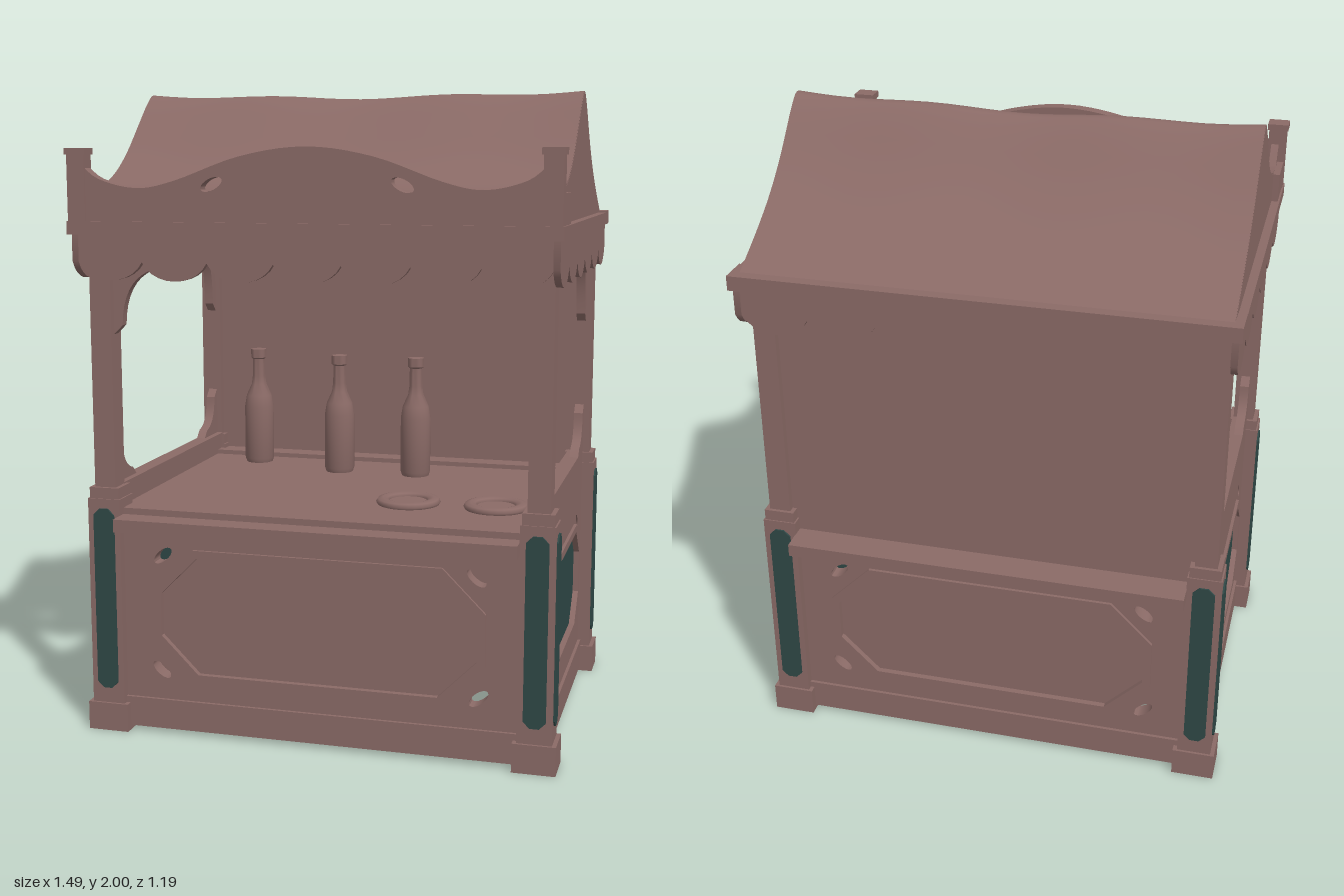
import * as THREE from 'three';
import { toCreasedNormals } from 'three/addons/utils/BufferGeometryUtils.js';

const wood = new THREE.MeshStandardMaterial({ color: 0x8a6a66 });
wood.name = 'dusty brown';
const green = new THREE.MeshStandardMaterial({ color: 0x2f4846 });
green.name = 'dark green';

const V = (x, y) => new THREE.Vector2(x, y);

function add(parent, name, geo, mat = wood, x = 0, y = 0, z = 0) {
  const m = new THREE.Mesh(geo, mat);
  m.name = name;
  m.position.set(x, y, z);
  parent.add(m);
  return m;
}

// box from min and max corners
function box(parent, name, x0, x1, y0, y1, z0, z1, mat = wood) {
  return add(parent, name, new THREE.BoxGeometry(x1 - x0, y1 - y0, z1 - z0), mat,
    (x0 + x1) / 2, (y0 + y1) / 2, (z0 + z1) / 2);
}

// extrusion centred on z = 0, smooth along curves
function slab(shape, depth, steps = 1) {
  const g = new THREE.ExtrudeGeometry(shape, { depth, steps, bevelEnabled: false, curveSegments: 10 });
  g.translate(0, 0, -depth / 2);
  return toCreasedNormals(g, 0.6);
}

// rectangle with cut corners
function octagon(hw, y0, y1, c) {
  return [V(-hw + c, y0), V(hw - c, y0), V(hw, y0 + c), V(hw, y1 - c),
    V(hw - c, y1), V(-hw + c, y1), V(-hw, y1 - c), V(-hw, y0 + c)];
}

function ellipseHole(x, y, a, b, rot) {
  const p = new THREE.Path();
  p.absellipse(x, y, a, b, 0, Math.PI * 2, false, rot);
  return p;
}

// counter wall facing +z: pierced board, moulding, sunken field and skirting
function wall(name, hw, top, [ow, o0, o1, cut], slits, fieldMat) {
  const g = new THREE.Group();
  g.name = name;
  const board = new THREE.Shape([V(-hw, 0.03), V(hw, 0.03), V(hw, top), V(-hw, top)]);
  board.holes.push(new THREE.Path(octagon(ow, o0, o1, cut)));
  for (const [x, y, r] of slits)
    for (const s of [-1, 1]) board.holes.push(ellipseHole(s * x, y, 0.036, 0.017, s * r));
  add(g, 'wallBoard', slab(board, 0.05));
  const rim = new THREE.Shape(octagon(ow + 0.025, o0 - 0.025, o1 + 0.025, cut + 0.012));
  rim.holes.push(new THREE.Path(octagon(ow, o0, o1, cut)));
  add(g, 'panelMoulding', slab(rim, 0.07));
  add(g, 'panelField', slab(new THREE.Shape(octagon(ow, o0, o1, cut)), 0.009), fieldMat, 0, 0, 0.012);
  box(g, 'skirting', -hw, hw, 0.015, 0.11, -0.02, 0.035);
  return g;
}

// hanging cloth edge with round lobes
function valance(hw, lobes) {
  const s = new THREE.Shape();
  const w = 2 * hw / lobes;
  s.moveTo(-hw, 1.585);
  s.lineTo(-hw, 1.49);
  for (let i = 0; i < lobes; i++) {
    const x = -hw + i * w;
    s.bezierCurveTo(x + w * 0.18, 1.416, x + w * 0.82, 1.416, x + w, 1.49);
  }
  s.lineTo(hw, 1.585);
  return slab(s, 0.02);
}

// corner brace with a concave edge; corner at the origin, arms +x and -y
function brace(w, h) {
  const s = new THREE.Shape();
  s.moveTo(0, 0);
  s.lineTo(0, -h);
  s.lineTo(0.03, -h + 0.03);
  s.quadraticCurveTo(0.035, -0.045, w - 0.03, -0.03);
  s.lineTo(w, 0);
  return slab(s, 0.03);
}

function createModel() {
  const root = new THREE.Group();
  root.name = 'marketStall';

  // lower walls
  const longField = [0.5, 0.2, 0.575, 0.12];
  const longSlits = [[0.495, 0.575, -0.7], [0.505, 0.205, 0.7]];
  const sideField = [0.315, 0.23, 0.55, 0.09];
  for (const s of [1, -1]) {
    const w = wall(s > 0 ? 'frontWall' : 'backWall', 0.64, 0.7, longField, longSlits, wood);
    w.position.z = s * 0.475;
    w.rotation.y = s > 0 ? 0 : Math.PI;
    const e = wall(s > 0 ? 'leftWall' : 'rightWall', 0.45, 0.79, sideField, [[0.315, 0.565, -0.8]], green);
    e.position.x = s * 0.665;
    e.rotation.y = s * Math.PI / 2;
    root.add(w, e);
  }

  // corner posts with green inlays
  const inlay = new THREE.Shape(octagon(0.034, 0.14, 0.72, 0.02));
  for (const sx of [-1, 1]) for (const sz of [-1, 1]) {
    const p = new THREE.Group();
    p.name = 'cornerPost';
    p.position.set(sx * 0.677, 0, sz * 0.477);
    box(p, 'postFoot', -0.066, 0.066, 0, 0.09, -0.058, 0.058);
    box(p, 'lowerPost', -0.053, 0.053, 0.08, 0.75, -0.05, 0.05);
    box(p, 'postCap', -0.048, 0.048, 0.74, 0.785, -0.046, 0.046);
    box(p, 'upperPost', -0.034, 0.034, 0.78, 1.6, -0.035, 0.035);
    add(p, 'postInlay', slab(inlay, 0.009), green, 0, 0, sz * 0.051);
    add(p, 'postInlay', slab(inlay, 0.009), green, sx * 0.054).rotation.y = Math.PI / 2;
    root.add(p);

    // braces of the side openings, above and below
    const up = add(root, 'upperBrace', brace(0.15, 0.26), wood, sx * 0.675, 1.5, sz * 0.445);
    up.rotation.y = sz * Math.PI / 2;
    const low = add(root, 'lowerBrace', brace(0.14, 0.17), wood, sx * 0.675, 0.785, sz * 0.445);
    low.rotation.set(Math.PI, -sz * Math.PI / 2, 0);
  }
  for (const s of [-1, 1]) {
    const b = add(root, 'frontBrace', brace(0.2, 0.24), wood, s * 0.645, 1.5, 0.475);
    b.rotation.y = s > 0 ? Math.PI : 0;
  }

  // counter, ledges and back wall
  box(root, 'counterTop', -0.655, 0.655, 0.695, 0.72, -0.48, 0.5);
  box(root, 'frontLedge', -0.625, 0.625, 0.66, 0.7, 0.48, 0.578);
  box(root, 'backLedge', -0.625, 0.625, 0.67, 0.71, -0.59, -0.48);
  box(root, 'backRail', -0.645, 0.645, 0.715, 0.735, -0.47, -0.39);
  box(root, 'backBoard', -0.65, 0.65, 0.7, 1.585, -0.49, -0.465);

  // bottles
  const bottle = [[0, 0], [0.046, 0], [0.051, 0.015], [0.051, 0.2], [0.044, 0.24], [0.026, 0.28],
    [0.022, 0.31], [0.021, 0.37], [0.027, 0.375], [0.027, 0.405], [0, 0.408]].map(([r, y]) => V(r, y));
  const bottleGeo = toCreasedNormals(new THREE.LatheGeometry(bottle, 20), 0.7);
  for (const [x, z] of [[-0.45, -0.31], [-0.125, -0.215], [0.145, -0.215]])
    add(root, 'bottle', bottleGeo, wood, x, 0.72, z);

  // plates
  for (const x of [0.22, 0.5]) {
    add(root, 'plateBase', new THREE.CylinderGeometry(0.085, 0.08, 0.01, 28), wood, x, 0.724, 0.21);
    const rim = add(root, 'plateRim', new THREE.TorusGeometry(0.08, 0.022, 8, 28), wood, x, 0.727, 0.21);
    rim.rotation.x = Math.PI / 2;
    rim.scale.z = 0.65;
  }

  // roof frame and valances
  box(root, 'frontBeam', -0.742, 0.742, 1.57, 1.61, 0.47, 0.593);
  box(root, 'backBeam', -0.742, 0.742, 1.57, 1.615, -0.595, -0.5);
  for (const s of [-1, 1]) {
    box(root, 'sideBeam', s * 0.7 - 0.042, s * 0.7 + 0.042, 1.57, 1.61, -0.52, 0.49);
    add(root, 'longValance', valance(0.715, 7), wood, 0, 0, s * 0.565);
    add(root, 'sideValance', valance(0.58, 6), wood, s * 0.722).rotation.y = Math.PI / 2;
  }

  // draped roof; shape x runs along -z
  const slope = new THREE.SplineCurve([[-0.49, 1.7], [-0.4, 1.71], [-0.3, 1.745], [-0.2, 1.81], [-0.1, 1.9],
    [-0.02, 1.972], [0.035, 2], [0.09, 1.965], [0.2, 1.85], [0.3, 1.765], [0.4, 1.7], [0.5, 1.645],
    [0.565, 1.612]].map(([x, y]) => V(x, y))).getPoints(40);
  const under = slope.map(p => V(p.x, p.y - 0.025)).reverse();
  const roof = new THREE.ExtrudeGeometry(new THREE.Shape([...slope, ...under]),
    { depth: 1.43, steps: 24, bevelEnabled: false });
  roof.translate(0, 0, -0.715);
  roof.rotateY(Math.PI / 2);
  const pos = roof.attributes.position;
  for (let i = 0; i < pos.count; i++) {
    const x = pos.getX(i), y = pos.getY(i);
    const sag = Math.max(0, y - 1.6) / 0.4 * (0.014 * Math.cos(x * 2.2) + 0.005 * Math.cos(x * 11));
    pos.setY(i, y - Math.max(0, sag));
  }
  add(root, 'roof', toCreasedNormals(roof, 0.7));

  // gable ends
  const gable = new THREE.Shape([V(-0.55, 1.59), V(-0.55, 1.77), V(-0.52, 1.735),
    ...slope.map(p => V(p.x, p.y - 0.004)), V(0.565, 1.59)]);
  for (const s of [-1, 1])
    add(root, 'gable', slab(gable, 0.024), wood, s * 0.704).rotation.y = Math.PI / 2;

  // wavy front sign board with corner blocks
  const crest = new THREE.SplineCurve([V(0.7, 1.785), V(0.64, 1.735), V(0.52, 1.708), V(0.4, 1.73),
    V(0.2, 1.8), V(0, 1.828), V(-0.2, 1.8), V(-0.4, 1.73), V(-0.52, 1.708), V(-0.64, 1.735),
    V(-0.7, 1.785)]).getPoints(50);
  const sign = new THREE.Shape([V(-0.7, 1.58), V(0.7, 1.58), ...crest]);
  for (const s of [-1, 1]) sign.holes.push(ellipseHole(s * 0.285, 1.72, 0.036, 0.017, -s * 0.45));
  add(root, 'frontSignBoard', slab(sign, 0.04), wood, 0, 0, 0.565);
  for (const s of [-1, 1]) {
    box(root, 'cornerBlock', s * 0.71 - 0.028, s * 0.71 + 0.028, 1.58, 1.81, 0.54, 0.59);
    box(root, 'cornerBlockCap', s * 0.71 - 0.033, s * 0.71 + 0.033, 1.805, 1.825, 0.537, 0.595);
    box(root, 'blockStay', s * 0.71 - 0.026, s * 0.71 + 0.026, 1.6, 1.7, 0.41, 0.55);
  }
  return root;
}

export { createModel };
